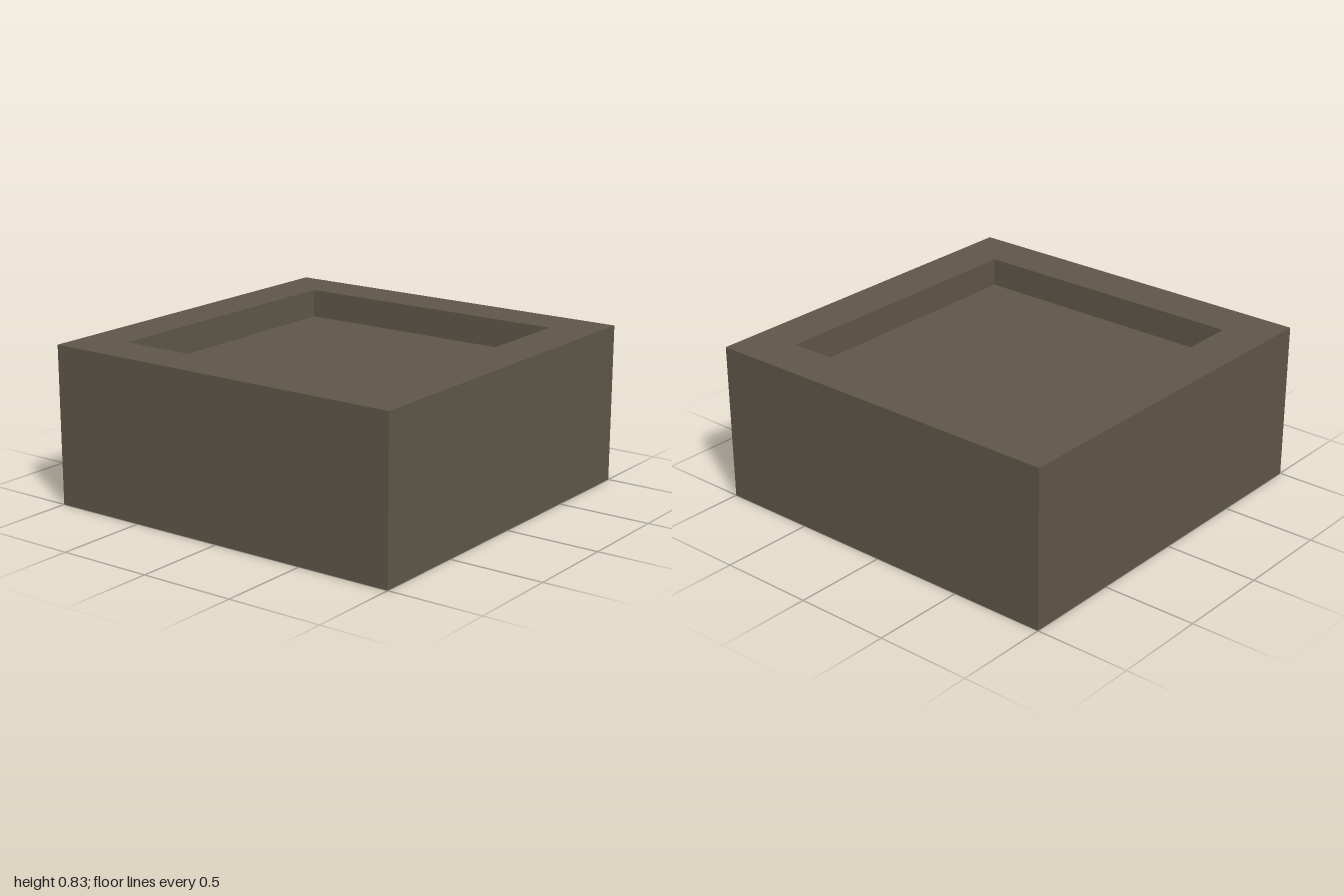
import * as THREE from 'three';

export function createModel() {
  const model = new THREE.Group();
  const brown = new THREE.MeshStandardMaterial({ color: 0x5f5648 });
  brown.name = 'dark brown';

  const height = 0.83, floorY = 0.68, half = 1, innerHalf = 0.757;
  const corner = (h) => h * Math.SQRT2; // corner radius of a square

  // Square tray: underside, outer walls, rim, recess walls and recess floor
  const profile = [
    [0, 0],
    [corner(half), 0],
    [corner(half), height],
    [corner(innerHalf), height],
    [corner(innerHalf), floorY],
    [0, floorY],
  ].map(([r, y]) => new THREE.Vector2(r, y));

  const geometry = new THREE.LatheGeometry(profile, 4, Math.PI / 4).toNonIndexed();
  geometry.computeVertexNormals(); // flat faces

  const block = new THREE.Mesh(geometry, brown);
  block.name = 'recessedBlock';
  model.add(block);
  return model;
}
